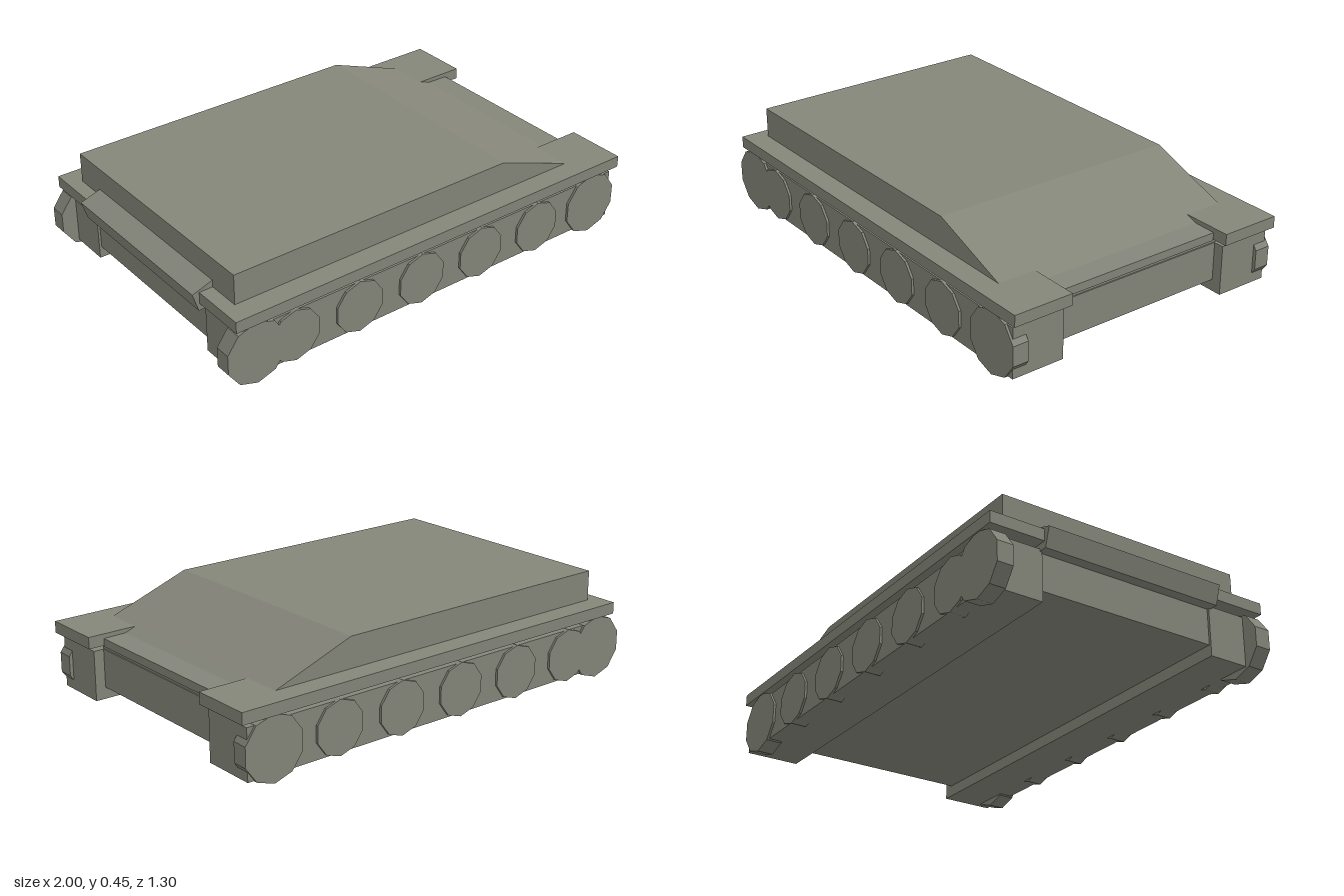
import * as THREE from 'three';

export function createModel() {
  const model = new THREE.Group();
  const paint = new THREE.MeshStandardMaterial({ color: 0x85867a, flatShading: true });

  function add(name, geometry) {
    const mesh = new THREE.Mesh(geometry, paint);
    mesh.name = name;
    model.add(mesh);
    return mesh;
  }

  // Box given by its limits on each axis
  function block(name, [x0, x1], [y0, y1], [z0, z1]) {
    const mesh = add(name, new THREE.BoxGeometry(x1 - x0, y1 - y0, z1 - z0));
    mesh.position.set((x0 + x1) / 2, (y0 + y1) / 2, (z0 + z1) / 2);
  }

  // Side profile (x, y) extruded across the full width
  function profile(name, points, halfWidth) {
    const shape = new THREE.Shape(points.map(([x, y]) => new THREE.Vector2(x, y)));
    const geometry = new THREE.ExtrudeGeometry(shape, { depth: 2 * halfWidth, bevelEnabled: false });
    geometry.translate(0, 0, -halfWidth);
    add(name, geometry);
  }

  // Hull: upper casemate, sloping nose, rear wedge and lower tub
  profile('upperHull', [[-0.9, 0.265], [0.78, 0.265], [0.78, 0.32], [0.42, 0.45], [-0.9, 0.45]], 0.555);
  profile('nosePlate', [[0.78, 0.265], [0.93, 0.265], [0.93, 0.3], [0.83, 0.302], [0.78, 0.32]], 0.385);
  profile('rearWedge', [[-0.9, 0.24], [-0.9, 0.35], [-0.99, 0.32], [-0.965, 0.24]], 0.41);
  block('lowerHull', [-0.92, 0.925], [0.085, 0.25], [-0.405, 0.405]);
  block('hullTop', [-0.9, 0.92], [0.25, 0.268], [-0.41, 0.41]);

  const wheelXs = [-0.69, -0.385, -0.075, 0.235, 0.545];

  for (const side of [1, -1]) {
    const label = side > 0 ? 'front' : 'back';
    const span = (a, b) => (side > 0 ? [a, b] : [-b, -a]);

    // Fender and track housing
    block(label + 'Fender', [-0.96, 1], [0.27, 0.32], span(0.385, 0.65));
    block(label + 'TrackHousing', [-0.93, 0.97], [0.035, 0.25], span(0.4, 0.635));

    // Ten-sided wheels, larger at both ends
    const wheel = (name, x, radius) => {
      const geometry = new THREE.CylinderGeometry(radius, radius, 0.07, 10);
      geometry.rotateX(Math.PI / 2);
      add(name, geometry).position.set(x, 0.14, side * 0.61);
    };
    wheelXs.forEach((x, i) => wheel(label + 'RoadWheel' + (i + 1), x, 0.115));
    wheel(label + 'DriveSprocket', 0.855, 0.137);
    wheel(label + 'IdlerWheel', -0.868, 0.137);
  }

  // Stand on the ground
  model.position.y = -0.003;
  return model;
}
